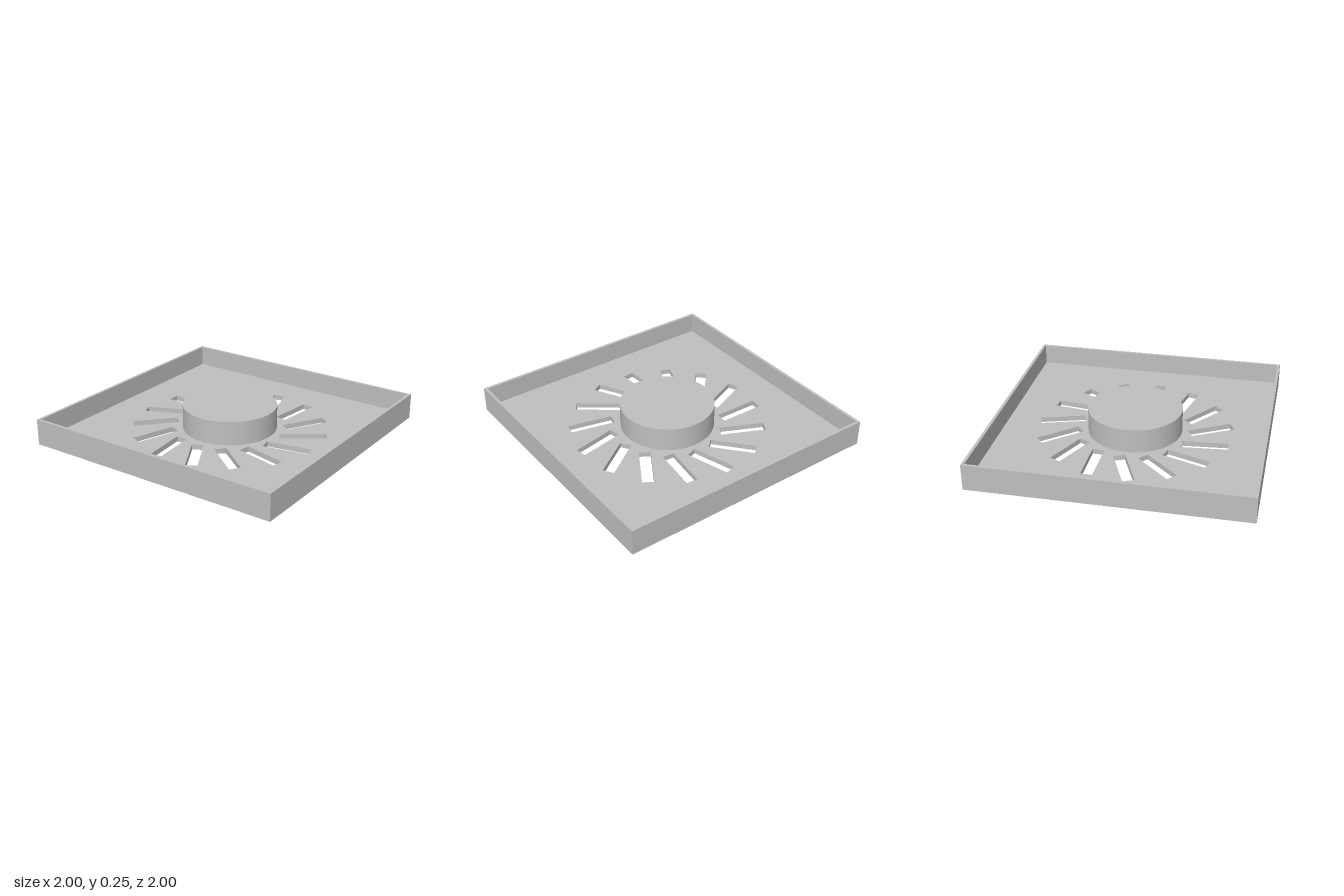
import * as THREE from 'three';

const HALF = 1, WALL = 0.022;                     // tray half width, rim thickness
const BASE = 0.026, FLOOR = 0.065, RIM = 0.221;   // heights of underside, floor top, rim top
const DISC_RADIUS = 0.352, DISC_HEIGHT = 0.246;

// Square outline centred on the origin
function square(half, Type = THREE.Shape) {
  return new Type([[-1, -1], [1, -1], [1, 1], [-1, 1]].map(([x, y]) => new THREE.Vector2(x * half, y * half)));
}

// Upright slab from a plan shape whose y axis becomes -z
function slab(shape, bottom, top) {
  const geometry = new THREE.ExtrudeGeometry(shape, { depth: top - bottom, bevelEnabled: false, curveSegments: 72 });
  geometry.rotateX(-Math.PI / 2);
  geometry.translate(0, bottom, 0);
  return geometry;
}

// Rectangular vent slot, swirled away from the radial direction
function slot(angle) {
  const ring = 0.567, halfLength = 0.17, halfWidth = 0.043;
  const centre = new THREE.Vector2(Math.cos(angle) * ring, Math.sin(angle) * ring);
  const swirl = angle + THREE.MathUtils.degToRad(20);
  return new THREE.Path([[-1, -1], [-1, 1], [1, 1], [1, -1]].map(([u, v]) =>
    new THREE.Vector2(u * halfLength, v * halfWidth).rotateAround(new THREE.Vector2(), swirl).add(centre)));
}

export function createModel() {
  const model = new THREE.Group();
  model.name = 'ventedTray';
  const grey = new THREE.MeshStandardMaterial({ color: 0xbfbfbf });
  grey.name = 'plain grey';

  function add(name, geometry) {
    const mesh = new THREE.Mesh(geometry, grey);
    mesh.name = name;
    model.add(mesh);
    return mesh;
  }

  // Floor with fifteen swirling slots
  const floor = square(HALF - WALL);
  for (let i = 0; i < 15; i++) floor.holes.push(slot(THREE.MathUtils.degToRad(87 + i * 24)));
  add('slottedFloor', slab(floor, BASE, FLOOR));

  // Rim wall around the floor
  const rim = square(HALF);
  rim.holes.push(square(HALF - WALL, THREE.Path));
  add('rimWall', slab(rim, BASE, RIM));

  // Central disc standing just proud of the rim and the underside
  const disc = add('centreDisc', new THREE.CylinderGeometry(DISC_RADIUS, DISC_RADIUS, DISC_HEIGHT, 72));
  disc.position.y = DISC_HEIGHT / 2;

  return model;
}
